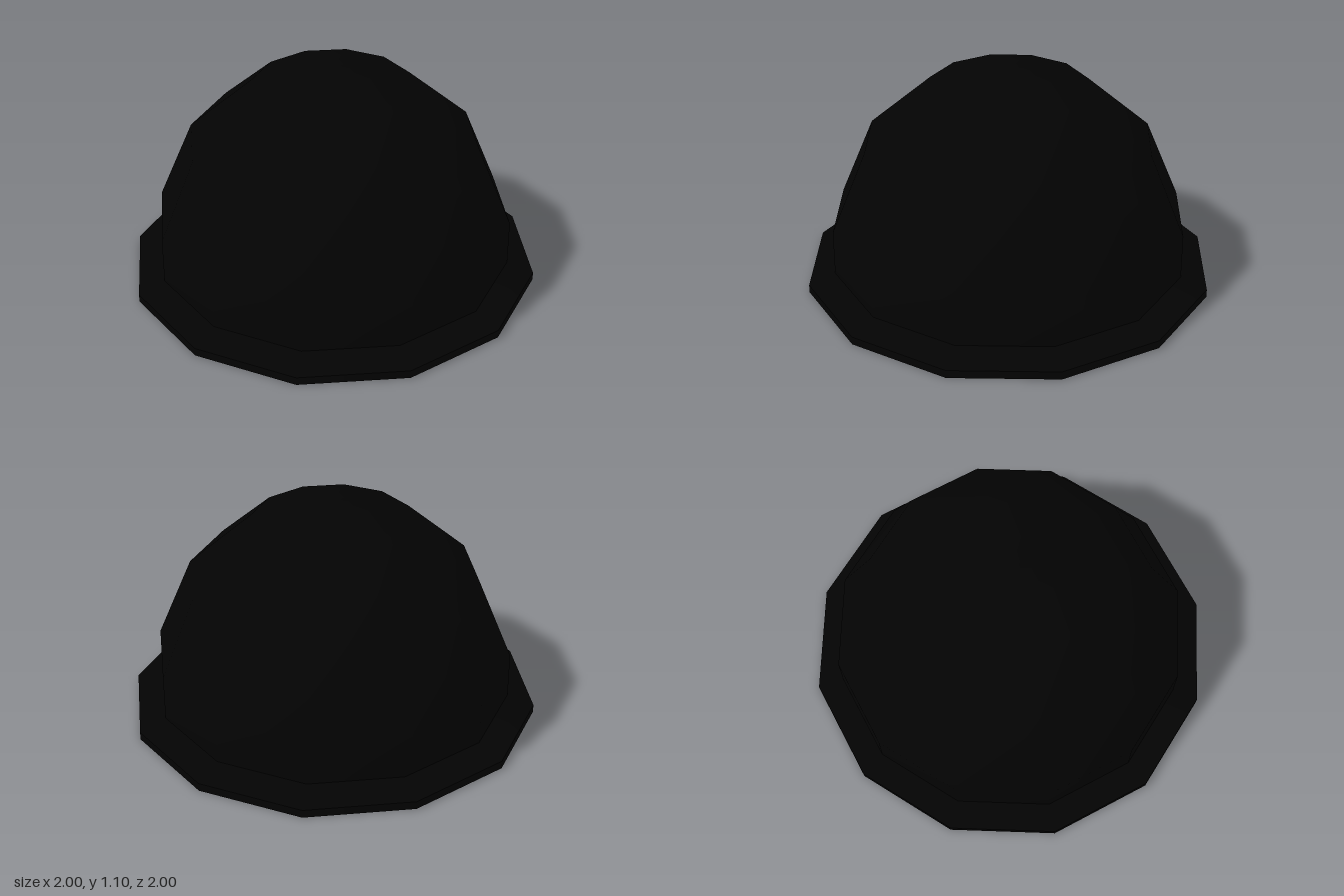
import * as THREE from 'three';

const SIDES = 12;

export function createModel() {
  const group = new THREE.Group();
  const material = new THREE.MeshStandardMaterial({ color: 0x030303 });

  // Each part is a turned band; separate bands keep the edges between them sharp.
  const addBand = (name, profile) => {
    const points = profile.map(([r, y]) => new THREE.Vector2(r, y));
    const mesh = new THREE.Mesh(new THREE.LatheGeometry(points, SIDES), material);
    mesh.name = name;
    group.add(mesh);
  };

  // Flat underside, thin rim and sloping top of the brim
  addBand('brimUnderside', [[0, 0], [1, 0]]);
  addBand('brimRim', [[1, 0], [1, 0.04]]);
  addBand('brimTop', [[1, 0.04], [0.87, 0.09]]);

  // Smooth dome rising from a short straight wall
  addBand('dome', [[0.87, 0.09], [0.87, 0.315], [0.7, 0.72], [0.39, 0.995], [0, 1.095]]);

  return group;
}
